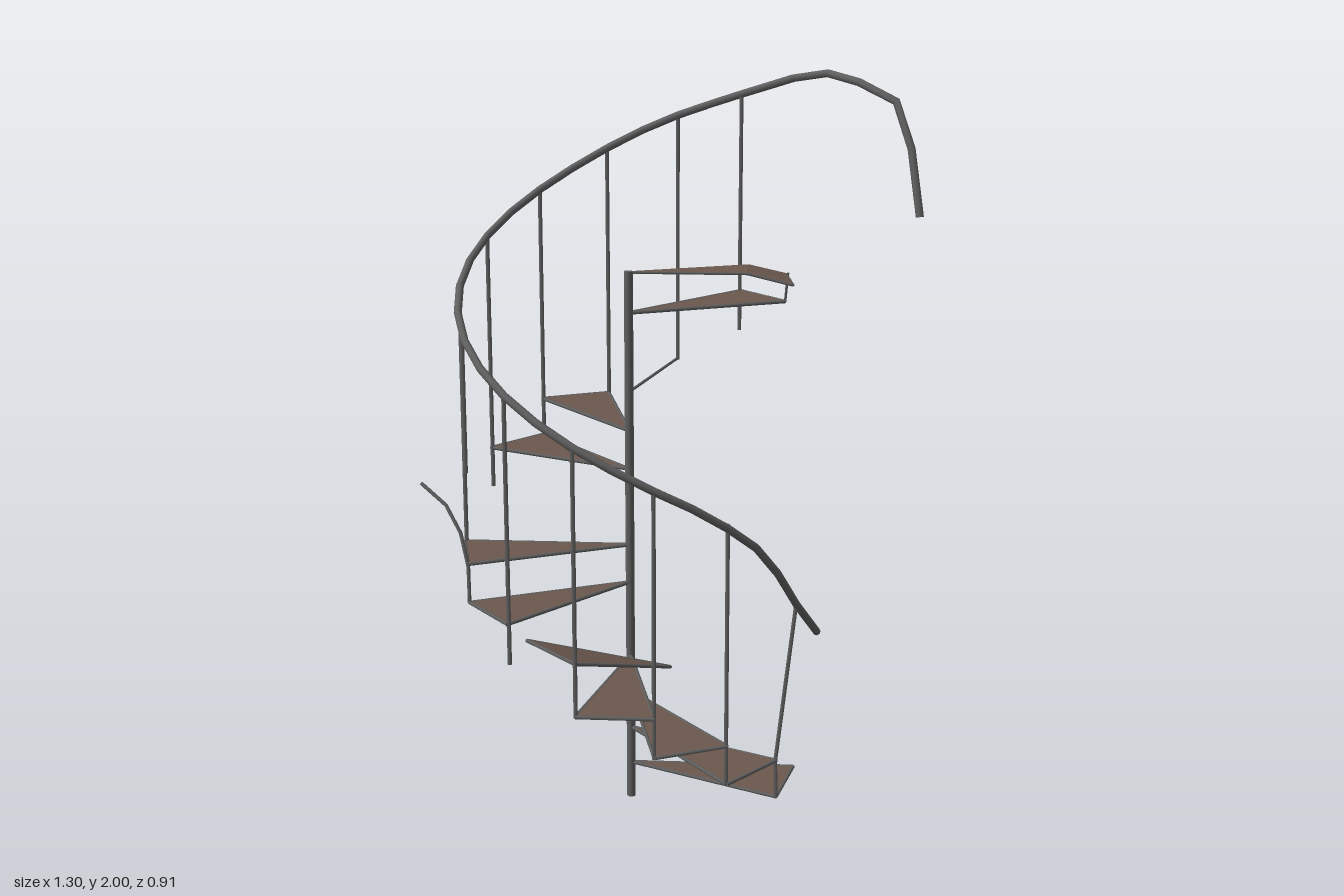
import * as THREE from 'three';

const POLE_X = -0.11, RADIUS = 0.453, RISE = 0.1065, TURN = (Math.PI * 2) / 14;
const V = (x, y, z) => new THREE.Vector3(x, y, z);
const treadHeight = (k) => RISE * k - 0.005;
// point on the spiral: k counts treads, h is height above tread k
const spiral = (k, h = 0, r = RADIUS) =>
  V(POLE_X + r * Math.cos(k * TURN), treadHeight(k) + h, r * Math.sin(k * TURN));
const axis = (y) => V(POLE_X, y, 0);

export function createModel() {
  const wood = new THREE.MeshStandardMaterial({ color: 0x6b584d });
  wood.name = 'brown tread';
  const metal = new THREE.MeshStandardMaterial({ color: 0x606060 });
  metal.name = 'dark metal';
  const model = new THREE.Group();
  model.name = 'brokenSpiralStair';

  const named = (object, name, parent = model) => {
    object.name = name;
    parent.add(object);
    return object;
  };

  // straight round bar between two points
  function bar(a, b, r, name, parent) {
    const dir = b.clone().sub(a);
    const mesh = new THREE.Mesh(new THREE.CylinderGeometry(r, r, dir.length(), 6), metal);
    mesh.position.copy(a).add(b).multiplyScalar(0.5);
    mesh.quaternion.setFromUnitVectors(V(0, 1, 0), dir.normalize());
    return named(mesh, name, parent);
  }

  // thin plate through the corners: brown on top, metal below and around
  function plate(corners, name, parent) {
    const n = corners.length, pos = [];
    const up = corners.map((p) => p.clone().add(V(0, 0.003, 0)));
    const low = corners.map((p) => p.clone().add(V(0, -0.004, 0)));
    const tri = (...pts) => pts.forEach((p) => pos.push(p.x, p.y, p.z));
    for (let i = 1; i < n - 1; i++) tri(up[0], up[i + 1], up[i]);
    const topCount = pos.length / 3;
    for (let i = 1; i < n - 1; i++) tri(low[0], low[i], low[i + 1]);
    for (let i = 0; i < n; i++) {
      const j = (i + 1) % n;
      tri(up[i], up[j], low[j]);
      tri(up[i], low[j], low[i]);
    }
    const geo = new THREE.BufferGeometry();
    geo.setAttribute('position', new THREE.Float32BufferAttribute(pos, 3));
    geo.computeVertexNormals();
    geo.addGroup(0, topCount, 0);
    geo.addGroup(topCount, pos.length / 3 - topCount, 1);
    return named(new THREE.Mesh(geo, [wood, metal]), name, parent);
  }

  // triangular tread with a rod frame
  function tread(corners, name) {
    const group = named(new THREE.Group(), name);
    plate(corners, 'treadPlate', group);
    corners.forEach((p, i) => bar(p, corners[(i + 1) % 3], 0.005, 'treadFrame', group));
  }

  // bent rod with one straight length between each pair of points
  function bent(points, r, name) {
    const curve = new THREE.CatmullRomCurve3(points);
    curve.getUtoTmapping = (u) => u;
    const geo = new THREE.TubeGeometry(curve, points.length - 1, r, 8);
    return named(new THREE.Mesh(geo, metal), name);
  }

  // central pole
  named(new THREE.Mesh(new THREE.CylinderGeometry(0.012, 0.012, 1.49, 12), metal), 'centralPole')
    .position.set(POLE_X, 0.745, 0);

  // intact treads
  for (const k of [1, 2, 3, 4, 6, 7, 9, 10, 13]) {
    const a = spiral(k - 1), b = spiral(k);
    a.y = b.y;
    tread([axis(b.y), a, b], 'tread');
  }

  // tread that has come loose and tipped over
  tread([V(0.005, 0.415, 0.065), V(-0.21, 0.56, 0.43), V(-0.355, 0.563, 0.28)], 'fallenTread');

  // top tread with its outer end bent down
  const hub = axis(1.487), inA = V(0.2, 1.487, -0.135), inB = V(0.2, 1.487, 0);
  const outA = V(0.3, 1.457, -0.18), outB = V(0.32, 1.46, 0.01);
  const top = named(new THREE.Group(), 'topTread');
  plate([hub, inA, inB], 'topTreadPlate', top);
  plate([inA, outA, outB, inB], 'topTreadLip', top);
  [[hub, inB], [inB, outB], [outB, outA], [hub, outA]].forEach(([a, b]) => bar(a, b, 0.0035, 'topTreadFrame', top));

  // lone rod left from a missing tread
  bar(axis(treadHeight(11)), spiral(11), 0.004, 'bareTreadRod');

  // upright balusters, shortening where the rail flattens near the top
  const railHeight = (k) => 0.705 - 0.0145 * Math.max(0, k - 10) ** 2;
  for (const k of [2, 3, 4, 5, 7, 8, 9, 10, 11, 12]) {
    bar(spiral(k, -0.004, 0.448), spiral(k, railHeight(k), 0.448), 0.006, 'baluster');
  }

  // damaged balusters
  bar(spiral(1), V(0.295, 0.205, 0.197), 0.006, 'leaningBalusterFoot');
  bar(V(0.295, 0.205, 0.197), V(0.343, 0.65, 0.2), 0.006, 'leaningBaluster');
  bar(spiral(6, 0.355), spiral(6, 0.705), 0.006, 'snappedBalusterTop');
  bent([spiral(6), V(-0.52, 0.73, 0.19), V(-0.54, 0.82, 0.178), V(-0.58, 0.89, 0.16), V(-0.65, 0.94, 0.13)],
    0.005, 'snappedBalusterFoot');
  bar(spiral(13), V(0.305, 1.46, -0.18), 0.004, 'balusterStub');

  // handrail: spiral with both ends bent away
  const rail = [V(0.4, 0.54, 0.1), V(0.345, 0.65, 0.2), V(0.295, 0.757, 0.265), V(0.24, 0.84, 0.312), V(0.17, 0.902, 0.352)];
  for (let k = 2.5; k <= 11; k += 0.5) rail.push(spiral(k, railHeight(k), 0.446));
  rail.push(V(0.085, 1.892, -0.398), V(0.17, 1.922, -0.352), V(0.31, 1.97, -0.27), V(0.4, 1.988, -0.19),
    V(0.48, 1.97, -0.12), V(0.575, 1.925, -0.065), V(0.615, 1.81, -0.02), V(0.64, 1.64, 0.015));
  bent(rail, 0.0105, 'handrail');

  return model;
}
